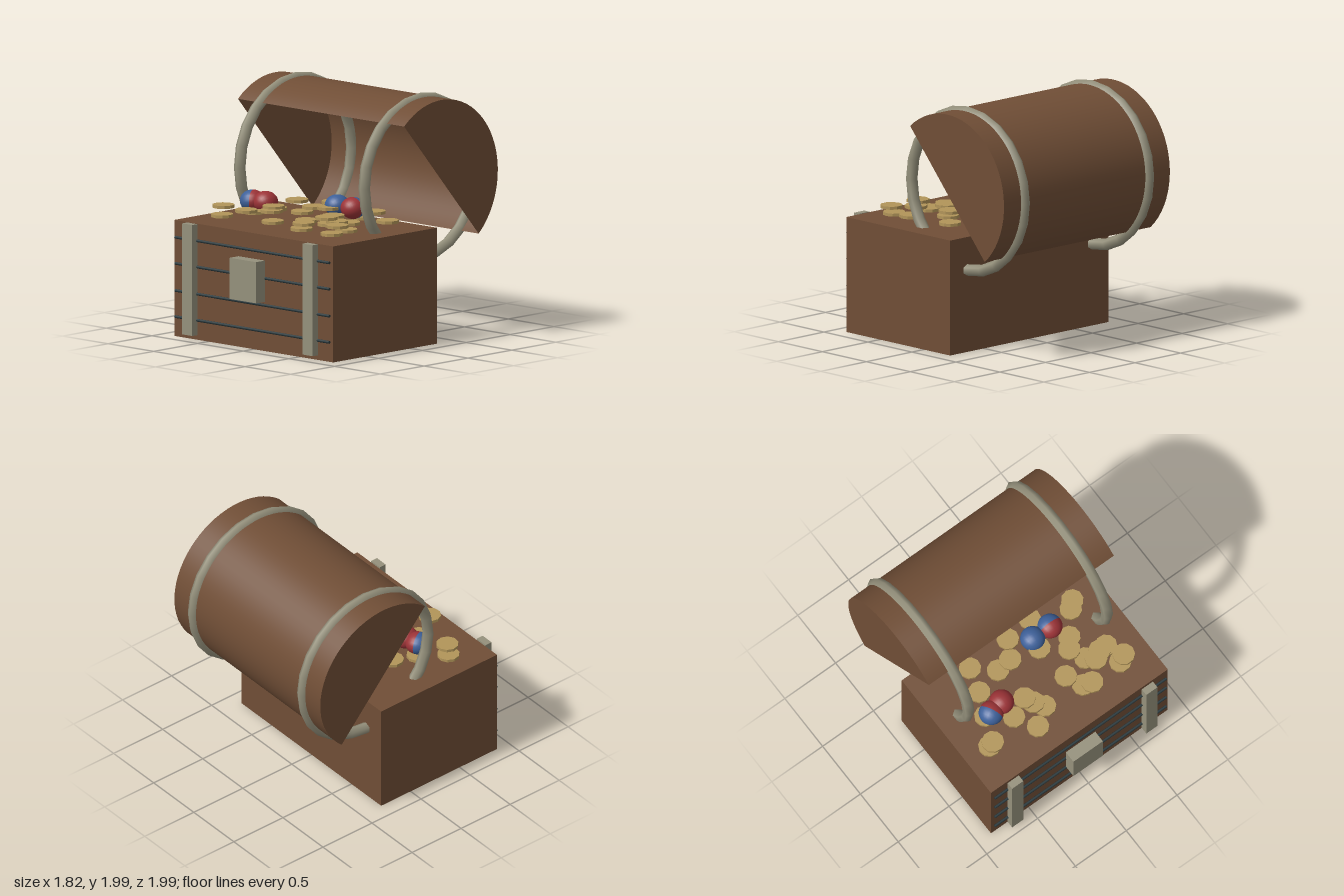
import * as THREE from 'three';

const material = (name, color, side = THREE.FrontSide) => {
  const m = new THREE.MeshStandardMaterial({ color, side });
  m.name = name;
  return m;
};

export function createModel() {
  const wood = material('brown wood', 0x704e36, THREE.DoubleSide);
  const metal = material('dull metal', 0x95917c);
  const iron = material('dark iron', 0x29383c);
  const gold = material('gold', 0xb29559);
  const red = material('red', 0x9c3337);
  const blue = material('blue', 0x3d6099);

  const model = new THREE.Group();
  model.name = 'treasureChest';
  const add = (name, geometry, mat, x, y, z) => {
    const mesh = new THREE.Mesh(geometry, mat);
    mesh.name = name;
    mesh.position.set(x, y, z);
    model.add(mesh);
    return mesh;
  };

  // Chest body
  add('chestBody', new THREE.BoxGeometry(1.74, 0.93, 1.18), wood, 0, 0.465, 0.29);

  // Open barrel lid: hollow half cylinder with closed ends, tipped back
  const lid = new THREE.CylinderGeometry(0.643, 0.643, 1.82, 32, 1, false, 0.85, Math.PI);
  lid.rotateZ(Math.PI / 2);
  add('lid', lid, wood, 0, 1.315, -0.311);

  // Hoops around the lid and straps on the front
  const hoop = new THREE.TorusGeometry(0.639, 0.047, 6, 24).rotateY(Math.PI / 2);
  for (const side of [-1, 1]) {
    add('hoop', hoop, metal, side * 0.682, 1.303, -0.308);
    add('frontStrap', new THREE.BoxGeometry(0.11, 0.89, 0.06), metal, side * 0.66, 0.485, 0.922);
  }

  // Lock plate
  add('lockPlate', new THREE.BoxGeometry(0.29, 0.33, 0.1), metal, -0.003, 0.565, 0.95);

  // Thin horizontal rods between the planks
  const rod = new THREE.CylinderGeometry(0.0115, 0.0115, 1.69, 8).rotateZ(Math.PI / 2);
  for (const y of [0.16, 0.37, 0.587, 0.797]) add('frontRod', rod, iron, 0, y, 0.896);

  // Slightly flattened balls, each made of two halves; angle turns the first half about y
  const ball = (x, z, angle, first, second) => {
    [first, second].forEach((mat, i) => {
      const half = new THREE.SphereGeometry(1, 20, 8, 0, Math.PI * 2, 0, Math.PI / 2);
      half.rotateX(Math.PI / 2).rotateY(angle + i * Math.PI).scale(0.1, 0.0875, 0.1);
      add('ballHalf', half, mat, x, 1.068, z);
    });
  };
  ball(-0.495, 0.38, -1.1, blue, red);
  ball(-0.375, 0.355, 0, red, red);
  ball(0.14, 0.075, 0, blue, blue);
  ball(0.312, 0.073, 0, red, blue);

  // Loose coins: x, y, z of each centre
  const coins = [
    [-0.45, 0.98, 0.16], [-0.22, 0.975, 0.1], [-0.1, 1.03, 0.1], [-0.53, 0.98, 0.35],
    [-0.65, 0.955, 0.565], [-0.625, 1.035, 0.575], [-0.36, 1.01, 0.5], [-0.21, 1.06, 0.435],
    [-0.17, 1.04, 0.5], [-0.1, 0.97, 0.56], [-0.265, 1.055, 0.69], [0.175, 1.0, 0.465],
    [0.135, 1.06, 0.17], [0.25, 0.96, 0.595], [0.31, 1.015, 0.635], [0.325, 1.035, 0.31],
    [0.4, 0.975, 0.21], [0.53, 1.06, 0.055], [0.39, 0.995, 0.435], [0.51, 1.03, 0.46],
    [0.59, 0.97, 0.44], [0.44, 1.06, 0.51], [0.6, 0.965, 0.615], [0.645, 1.03, 0.6],
    [-0.02, 1.06, -0.04], [0.24, 0.965, -0.1], [-0.4, 1.03, -0.03], [0.6, 0.985, -0.02],
  ];
  const coin = new THREE.CylinderGeometry(0.09, 0.09, 0.024, 10).toNonIndexed();
  coin.computeVertexNormals();
  coins.forEach(([x, y, z], i) => {
    add('coin', coin, gold, x, y, z).rotation.y = i * 1.3;
  });

  return model;
}
